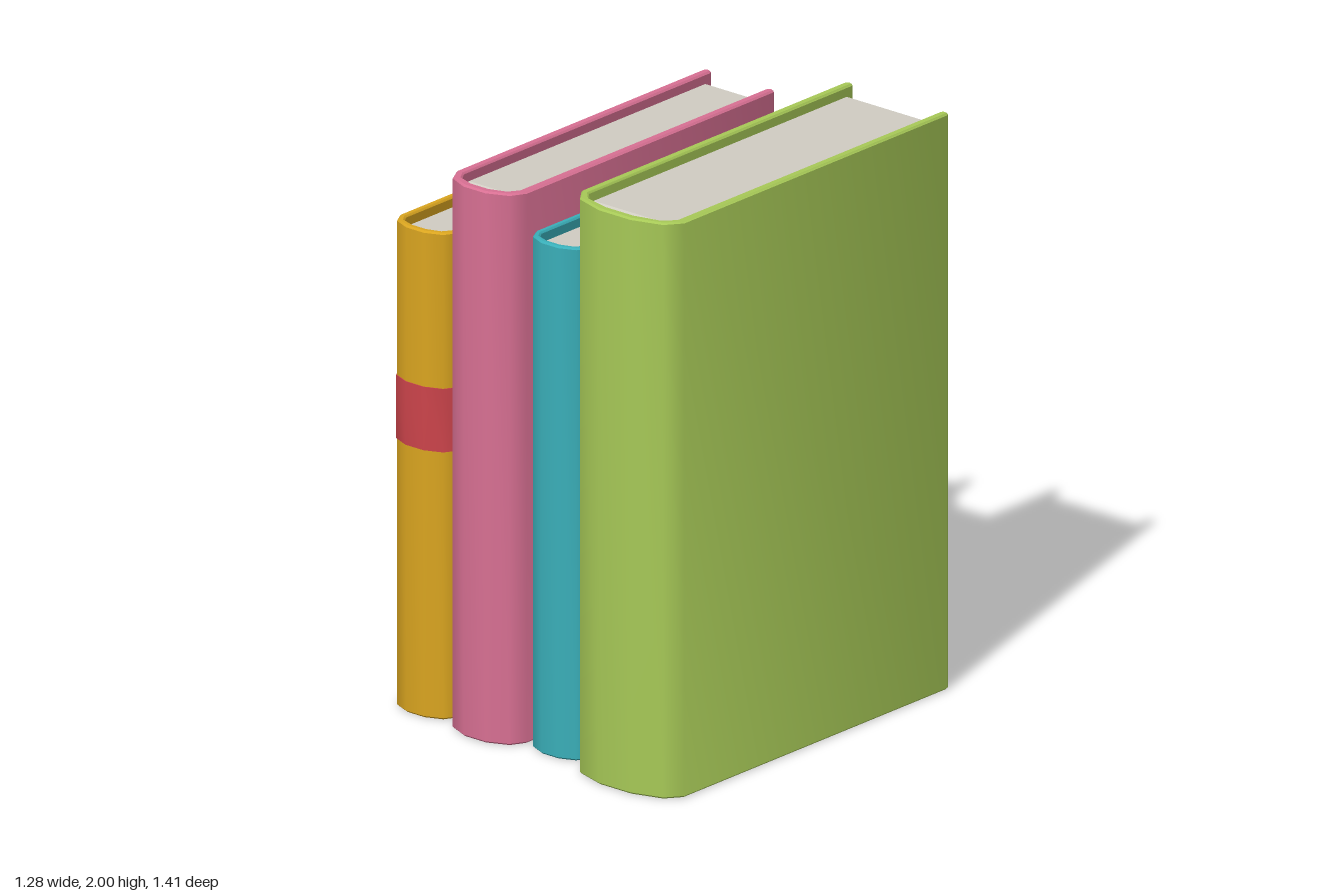
import * as THREE from 'three';
import { toCreasedNormals } from 'three/addons/utils/BufferGeometryUtils.js';

const mat = (name, color) => new THREE.MeshStandardMaterial({ name, color });

// Extrude a plan outline, given as [x, z] points, upward from y0 to y1 with a small bevel.
function extrudeUp(points, y0, y1, bevel) {
  const shape = new THREE.Shape(points.map(([x, z]) => new THREE.Vector2(x, -z)));
  const geo = new THREE.ExtrudeGeometry(shape, {
    depth: y1 - y0 - 2 * bevel, bevelEnabled: bevel > 0, bevelSegments: 1,
    bevelSize: bevel, bevelThickness: bevel, bevelOffset: -bevel,
  });
  geo.rotateX(-Math.PI / 2).translate(0, y0 + bevel, 0);
  return toCreasedNormals(geo, 0.7);
}

// Half ellipse bulging toward +z, from the left side (-x) to the right side (+x).
function arc(halfWidth, depth, z, segments = 5) {
  return Array.from({ length: segments + 1 }, (_, i) => {
    const a = Math.PI * (1 - i / segments);
    return [halfWidth * Math.cos(a), z + depth * Math.sin(a)];
  });
}

// U-shaped cover: rounded spine in front, two boards with rounded rear edges.
function coverOutline(w, t, back, start, front) {
  const r = t / 2;
  const end = (cx) => Array.from({ length: 7 }, (_, i) => {
    const a = Math.PI * i / 6;
    return [cx + r * Math.cos(a), back + r - r * Math.sin(a)];
  });
  return [
    ...arc(w, front - start, start),
    ...end(w - r),
    ...arc(w - t, front - t - start, start).reverse(),
    ...end(-w + r),
  ];
}

export function createModel() {
  const group = new THREE.Group();
  group.name = 'bookRow';
  const pageMat = mat('paper', 0xd0ccc2);
  const bandMat = mat('red band', 0xcc444b);

  const books = [
    { name: 'yellowBook', color: 0xdaa520, x0: -0.64, x1: -0.395, h: 1.69, t: 0.026, back: -0.62, start: 0.545, front: 0.615, band: [0.93, 1.15] },
    { name: 'pinkBook', color: 0xd87093, x0: -0.375, x1: -0.073, h: 1.915, t: 0.032, back: -0.665, start: 0.57, front: 0.66 },
    { name: 'tealBook', color: 0x3aafb9, x0: -0.054, x1: 0.175, h: 1.78, t: 0.024, back: -0.62, start: 0.548, front: 0.615 },
    { name: 'greenBook', color: 0xa7c957, x0: 0.195, x1: 0.637, h: 2.0, t: 0.032, back: -0.708, start: 0.61, front: 0.705 },
  ];

  for (const b of books) {
    const book = new THREE.Group();
    book.name = b.name;
    book.position.x = (b.x0 + b.x1) / 2;
    const w = (b.x1 - b.x0) / 2;
    const add = (name, geo, material) => {
      const mesh = new THREE.Mesh(geo, material);
      mesh.name = name;
      book.add(mesh);
    };

    // Cover boards and spine
    add('cover', extrudeUp(coverOutline(w, b.t, b.back, b.start, b.front), 0, b.h, 0.006),
      mat(b.name.replace('Book', ' cover'), b.color));

    // Page block, recessed at the rear, top and bottom
    const p = w - b.t + 0.001, zb = b.back + 0.039;
    add('pages', extrudeUp([[-p, b.start], [p, b.start], [p, zb], [-p, zb]], 0.03, b.h - 0.03, 0.012), pageMat);

    // Thin coloured band around the spine
    if (b.band) {
      const d = b.front - b.start;
      const outline = [...arc(w + 0.003, d + 0.003, b.start), ...arc(w - 0.002, d - 0.002, b.start).reverse()];
      add('spineBand', extrudeUp(outline, b.band[0], b.band[1], 0), bandMat);
    }
    group.add(book);
  }
  return group;
}
